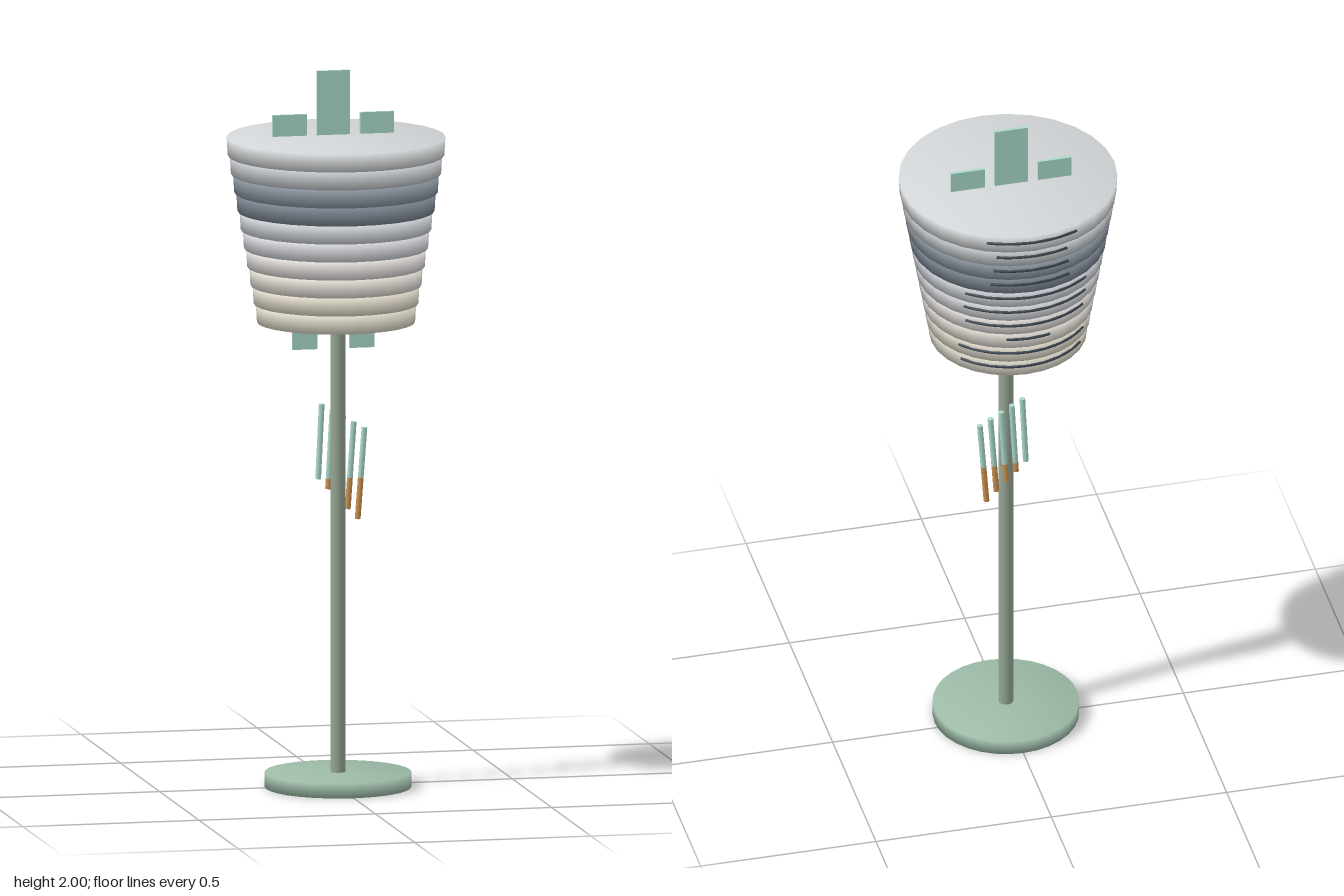
import * as THREE from 'three';
import { mergeVertices } from 'three/addons/utils/BufferGeometryUtils.js';

const material = (color) => new THREE.MeshStandardMaterial({ color });

function add(parent, name, geometry, mat, x = 0, y = 0, z = 0) {
  const mesh = new THREE.Mesh(geometry, mat);
  mesh.name = name;
  mesh.position.set(x, y, z);
  parent.add(mesh);
  return mesh;
}

// Closed disc whose normals run smoothly from the sides over the caps
function softDisc(top, bottom, height, sides) {
  const g = new THREE.CylinderGeometry(top, bottom, height, sides);
  g.deleteAttribute('normal');
  g.deleteAttribute('uv');
  const merged = mergeVertices(g, 1e-4);
  merged.computeVertexNormals();
  return merged;
}

// Rod between two points
function rod(parent, name, a, b, radius, mat) {
  const dir = b.clone().sub(a);
  const mesh = add(parent, name, new THREE.CylinderGeometry(radius, radius, dir.length(), 10), mat);
  mesh.position.copy(a).add(b).multiplyScalar(0.5);
  mesh.quaternion.setFromUnitVectors(new THREE.Vector3(0, 1, 0), dir.normalize());
}

export function createModel() {
  const model = new THREE.Group();
  model.name = 'floorLamp';
  const green = material(0x9dbba8);
  const mint = material(0xa8d8c8);
  const orange = material(0xc8924f);
  const dark = material(0x3c4650);

  // Foot and pole, slightly in front of the shade centre
  add(model, 'base', softDisc(0.203, 0.203, 0.042, 32), green, 0, 0.021, 0.025);
  add(model, 'pole', new THREE.CylinderGeometry(0.021, 0.021, 1.34, 20), material(0x95a594), 0, 0.68, 0.024);

  // Shade: ten stacked rings, narrowing downwards
  const shade = new THREE.Group();
  shade.name = 'shade';
  model.add(shade);
  const colors = [0xd3d6d8, 0xc6cace, 0x8b95a0, 0x7d8792, 0xcfd3d8,
    0xd6d8dc, 0xe2dedc, 0xe2dfd6, 0xe2dccc, 0xe0dccc];
  // Half-angle in degrees of the slit behind each ring
  const slits = [25, 20, 22, 24, 40, 42, 42, 15, 50, 50];
  const step = 0.052;
  colors.forEach((color, i) => {
    const r = 0.303 - i * 0.009;
    const y = 1.82 - (i + 0.5) * step;
    add(shade, 'shadeRing', softDisc(r, r - 0.003, step, 28), material(color), 0, y, 0);
    // Thin dark rib round the back
    const half = THREE.MathUtils.degToRad(slits[i]);
    const arc = new THREE.TorusGeometry(r - 0.001, 0.004, 6, 20, half * 2);
    arc.rotateZ(Math.PI / 2 - half);
    arc.rotateX(-Math.PI / 2);
    add(shade, 'backRib', arc, dark, 0, y + 0.004, 0);
  });

  // Flat plates standing out above and below the shade
  const plate = (name, x, width, low, high) =>
    add(model, name, new THREE.BoxGeometry(width, high - low, 0.009), mint, x, (low + high) / 2, -0.035);
  plate('middlePlate', 0, 0.094, 1.75, 2);
  for (const s of [-1, 1]) {
    plate('sidePlate', s * 0.124, 0.096, 1.75, 1.88);
    plate('lowerPlate', s * 0.081, 0.07, 1.22, 1.36);
  }

  // Row of slanted sticks behind the pole, orange at the lower tips
  const sticks = new THREE.Group();
  sticks.name = 'sticks';
  model.add(sticks);
  for (let i = 0; i < 5; i++) {
    const top = new THREE.Vector3(-0.039 + i * 0.0303, 1.07 - i * 0.0175, -0.007);
    const bottom = new THREE.Vector3(-0.049 + i * 0.028, 0.86 - i * 0.029, -0.007);
    const t = Math.min(1, (top.y - 0.86) / (top.y - bottom.y));
    const split = top.clone().lerp(bottom, t);
    rod(sticks, 'stick', split, top, 0.008, mint);
    if (t < 0.99) rod(sticks, 'stickTip', bottom, split, 0.008, orange);
  }
  return model;
}
